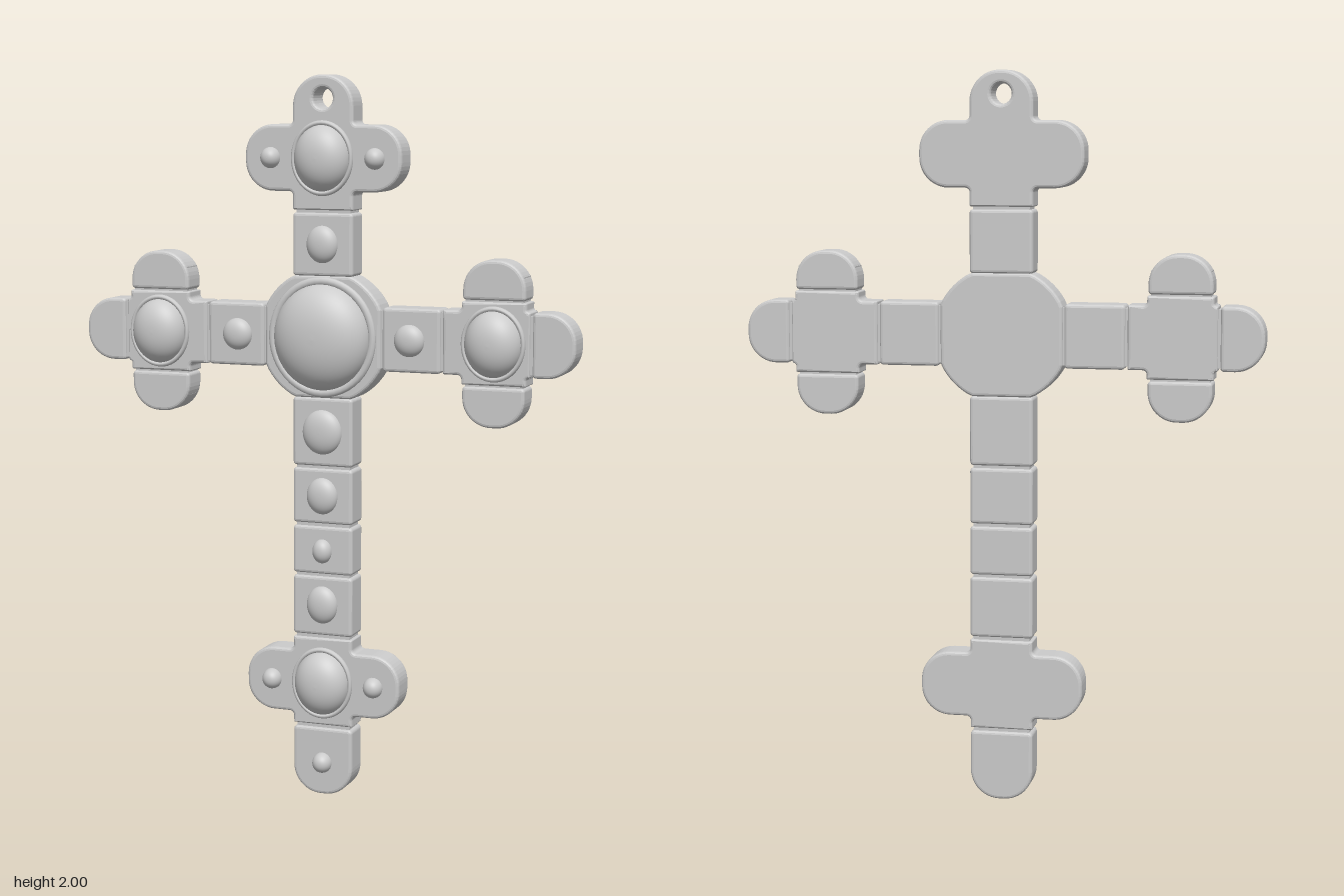
import * as THREE from 'three';

const BACK = -0.085, DEPTH = 0.085, BEVEL = 0.009;
const W = 0.087; // half width of the bars
const CY = 1.292; // height of the crossing

// closed outline from corners [x, y, radius], each square corner rounded
function outline(corners) {
  const s = new THREE.Shape();
  const n = corners.length;
  const toward = (a, b, d) => {
    const l = Math.hypot(b[0] - a[0], b[1] - a[1]);
    return [a[0] + (b[0] - a[0]) * d / l, a[1] + (b[1] - a[1]) * d / l];
  };
  corners.forEach((c, i) => {
    const prev = corners[(i + n - 1) % n], next = corners[(i + 1) % n], r = c[2] || 0.004;
    const p = toward(c, prev, r), q = toward(c, next, r);
    if (i === 0) s.moveTo(...p); else s.lineTo(...p);
    s.bezierCurveTo(...toward(c, prev, r * 0.45), ...toward(c, next, r * 0.45), ...q);
  });
  s.closePath();
  return s;
}

const rect = (x0, x1, y0, y1, bl = 0, br = 0, tr = 0, tl = 0) =>
  outline([[x0, y0, bl], [x1, y0, br], [x1, y1, tr], [x0, y1, tl]]);

// cross-shaped outline: a bar with a rounded lobe on either side
function lobedBar(y0, y1, lobeY, topRadius) {
  const a = lobeY - 0.09, b = lobeY + 0.09, X = 0.225, r = 0.08;
  return outline([
    [-W, y0], [W, y0], [W, a, 0.012], [X, a, r], [X, b, r], [W, b, 0.012],
    [W, y1, topRadius], [-W, y1, topRadius], [-W, b, 0.012], [-X, b, r], [-X, a, r], [-W, a, 0.012],
  ]);
}

export function createModel() {
  const group = new THREE.Group();
  const mat = new THREE.MeshStandardMaterial({ color: 0xcccccc });

  function add(name, geo) {
    const m = new THREE.Mesh(geo, mat);
    m.name = name;
    group.add(m);
    return m;
  }

  // bevelled slab that keeps the drawn outline
  function slab(name, shape) {
    const geo = new THREE.ExtrudeGeometry(shape, {
      depth: DEPTH - 2 * BEVEL, bevelThickness: BEVEL, bevelSize: BEVEL,
      bevelOffset: -BEVEL, bevelSegments: 3, curveSegments: 12,
    });
    geo.translate(0, 0, BACK + BEVEL);
    return add(name, geo);
  }

  // full-bellied oval dome
  const domeProfile = [];
  for (let i = 0; i <= 14; i++) {
    const t = i / 14 * Math.PI / 2;
    domeProfile.push(new THREE.Vector2(Math.max(0, Math.cos(t)) ** 0.9, Math.sin(t)));
  }
  domeProfile[14].x = 0;
  const domeGeo = new THREE.LatheGeometry([new THREE.Vector2(1, -0.2), ...domeProfile], 40);
  domeGeo.rotateX(Math.PI / 2);
  function stone(x, y, rx, ry, h) {
    const m = add('stone', domeGeo);
    m.position.set(x, y, -0.002);
    m.scale.set(rx, ry, h);
  }

  // large stone sitting in a raised rim
  function setStone(x, y, rx, ry, h) {
    stone(x, y, rx, ry, h);
    const rim = add('stoneRim', new THREE.TorusGeometry(1, 0.075, 10, 48));
    rim.position.set(x, y, 0.001);
    rim.scale.set(rx * 1.05, ry * 1.05, 0.13);
  }

  // inner core joining the separate slabs
  function core(x, y, w, h) {
    const m = add('core', new THREE.BoxGeometry(w, h, DEPTH - 0.016));
    m.position.set(x, y, BACK + DEPTH / 2);
  }
  core(0, 0.94, 0.156, 1.68);
  core(0, CY, 1.24, 0.156);

  // top trefoil with hanging hole
  const top = lobedBar(1.637, 2, 1.777, 0.083);
  const hole = new THREE.Path();
  hole.absarc(0, 1.937, 0.028, 0, Math.PI * 2, true);
  top.holes.push(hole);
  slab('topTrefoil', top);
  setStone(0, 1.777, 0.079, 0.09, 0.06);

  // foot trefoil and rounded tip
  slab('footTrefoil', lobedBar(0.2, 0.45, 0.322, 0));
  setStone(0, 0.322, 0.079, 0.09, 0.06);
  slab('footTip', rect(-W, W, 0, 0.192, 0.08, 0.08, 0.012, 0.012));
  stone(0, 0.092, 0.028, 0.029, 0.032);
  for (const y of [1.777, 0.322])
    for (const s of [-1, 1]) stone(s * 0.15, y, 0.028, 0.029, 0.032);

  // blocks along the shaft: bottom, top, stone height, stone radii
  const blocks = [
    [1.458, 1.63, 1.545, 0.045, 0.051], [0.935, 1.125, 1.03, 0.057, 0.062],
    [0.774, 0.928, 0.852, 0.045, 0.051], [0.632, 0.766, 0.697, 0.028, 0.034],
    [0.458, 0.625, 0.545, 0.045, 0.053],
  ];
  for (const [y0, y1, y, rx, ry] of blocks) {
    slab('shaftBlock', rect(-W, W, y0, y1, 0.01, 0.01, 0.01, 0.01));
    stone(0, y, rx, ry, 0.028);
  }

  // central boss: a disc flattened where the arms meet it
  const pts = [];
  for (let i = 0; i < 72; i++) {
    const a = i / 72 * Math.PI * 2;
    const clip = v => THREE.MathUtils.clamp(v, -0.168, 0.168);
    pts.push(new THREE.Vector2(clip(0.187 * Math.cos(a)), CY + clip(0.187 * Math.sin(a))));
  }
  slab('centreBoss', new THREE.Shape(pts));
  setStone(0, CY, 0.138, 0.146, 0.082);

  // arms, mirrored left and right
  for (const s of [-1, 1]) {
    const x = s * 0.485;
    const span = (a, b) => (s > 0 ? [a, b] : [-b, -a]);
    slab('armBlock', rect(...span(0.172, 0.337), CY - W, CY + W, 0.01, 0.01, 0.01, 0.01));
    stone(s * 0.25, CY, 0.043, 0.044, 0.028);

    // cross-shaped slab under the arm stone
    const N = 0.09, H = 0.112, L = -0.142, R = 0.1;
    const plan = [[L, -W], [-N, -W, 0.012], [-N, -H], [N, -H], [N, -W, 0.008], [R, -W],
      [R, W], [N, W, 0.008], [N, H], [-N, H], [-N, W, 0.012], [L, W]];
    const corners = plan.map(([px, py, r]) => [x + s * px, CY + py, r]);
    if (s < 0) corners.reverse();
    slab('armCross', outline(corners));
    setStone(x, CY, 0.079, 0.09, 0.06);
    core(x, CY, 0.16, 0.36);

    // three rounded lobes
    const q = 0.079, e = 0.01;
    slab('armUpperLobe', rect(x - W, x + W, 1.408, 1.515, e, e, q, q));
    slab('armLowerLobe', rect(x - W, x + W, 1.066, 1.176, q, q, e, e));
    slab('armEndLobe', s > 0
      ? rect(0.592, 0.71, CY - W, CY + W, e, q, q, e)
      : rect(-0.71, -0.592, CY - W, CY + W, q, e, e, q));
  }
  return group;
}
